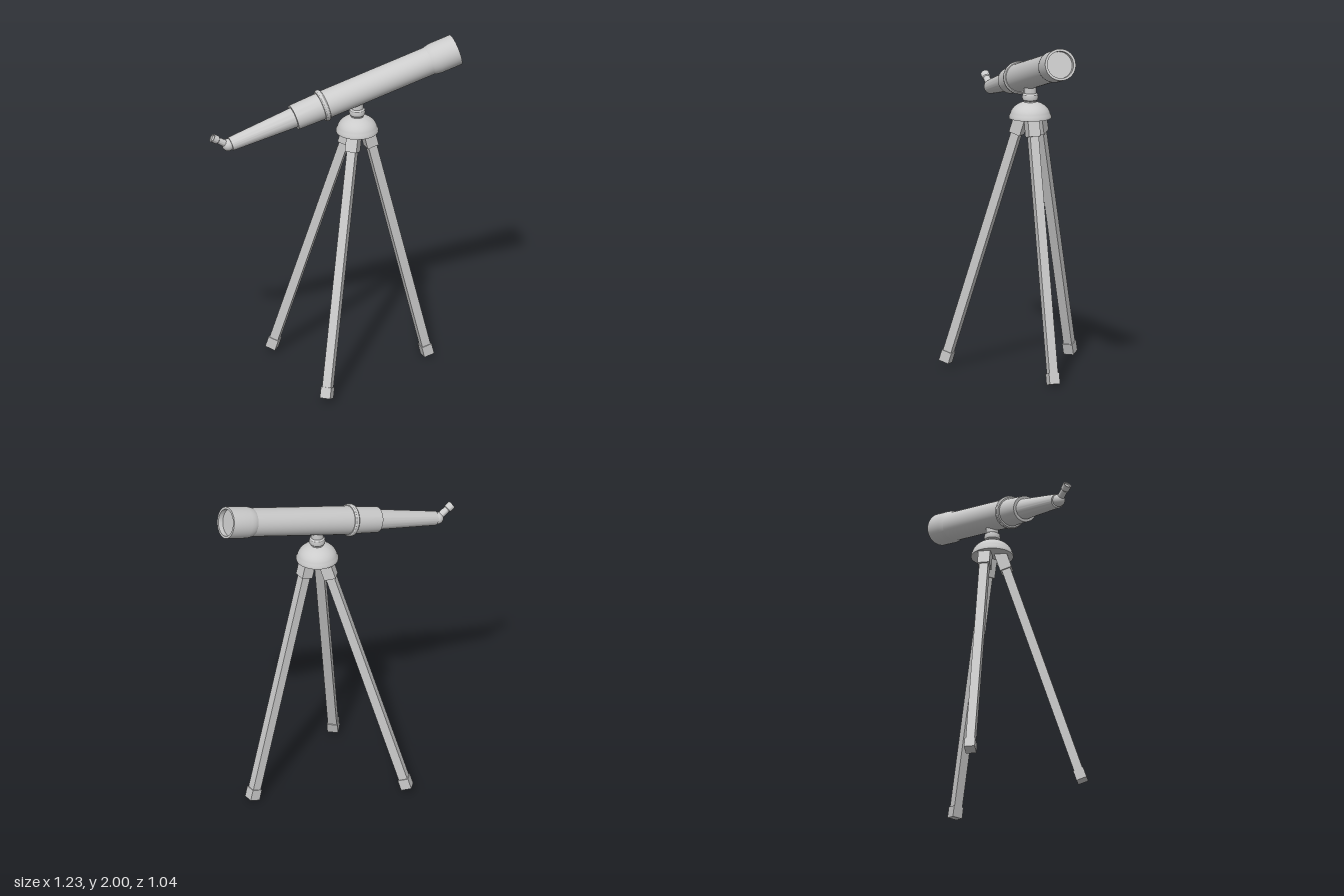
import * as THREE from 'three';
import { toCreasedNormals } from 'three/addons/utils/BufferGeometryUtils.js';

const material = new THREE.MeshStandardMaterial({ color: 0xcccccc });
const UP = new THREE.Vector3(0, 1, 0);
const v = (x, y, z) => new THREE.Vector3(x, y, z);

function part(name, geometry) {
  const mesh = new THREE.Mesh(geometry, material);
  mesh.name = name;
  return mesh;
}

// Turned part: profile of [radius, height], listed from bottom to top
function turned(name, profile, segments = 48) {
  const points = profile.map(([r, y]) => new THREE.Vector2(r, y));
  return part(name, toCreasedNormals(new THREE.LatheGeometry(points, segments), 0.55));
}

// Group whose local y axis runs from one point towards another
function along(name, from, to) {
  const group = new THREE.Group();
  group.name = name;
  group.position.copy(from);
  group.quaternion.setFromUnitVectors(UP, to.clone().sub(from).normalize());
  return group;
}

// Square leg with a socket at the top and a shoe at the bottom
function leg(name, hip, foot) {
  const axis = hip.clone().sub(foot);
  const length = axis.length();
  axis.normalize();
  const side = v(0, 0, 0).crossVectors(axis, UP).normalize();
  const out = v(0, 0, 0).crossVectors(side, axis);
  const group = new THREE.Group();
  group.name = name;
  group.position.copy(foot);
  group.quaternion.setFromRotationMatrix(new THREE.Matrix4().makeBasis(side, axis, out));
  const bar = (label, width, start, end) => {
    const mesh = part(label, new THREE.BoxGeometry(width, end - start, width));
    mesh.position.y = (start + end) / 2;
    group.add(mesh);
  };
  bar('legBar', 0.052, 0.01, length - 0.02);
  bar('legShoe', 0.062, 0, 0.065);
  bar('legSocket', 0.07, length - 0.1, length + 0.015);
  return group;
}

export function createModel() {
  const model = new THREE.Group();
  model.name = 'telescope';

  // Tripod
  model.add(
    leg('sideLeg', v(0.034, 1.49, -0.1), v(-0.442, 0.028, -0.1)),
    leg('frontLeg', v(0.09, 1.49, -0.016), v(0.09, 0.028, 0.457)),
    leg('rearLeg', v(0.139, 1.49, -0.1), v(0.417, 0.008, -0.35)),
  );

  // Domed head
  const dome = [[0, 1.49], [0.122, 1.49], [0.122, 1.502]];
  for (let i = 1; i <= 12; i++) {
    const a = (i / 12) * Math.PI / 2;
    dome.push([i === 12 ? 0 : 0.117 * Math.cos(a), 1.502 + 0.086 * Math.sin(a)]);
  }
  const head = turned('tripodHead', dome);
  // Pivot between head and tube
  const pivot = turned('pivot', [
    [0, 1.56], [0.036, 1.56], [0.036, 1.59], [0.044, 1.597], [0.047, 1.612],
    [0.044, 1.627], [0.036, 1.635], [0.036, 1.71], [0, 1.71],
  ]);
  for (const mesh of [head, pivot]) mesh.position.set(0.089, 0, -0.07);
  model.add(head, pivot);

  // Optical tube, measured along its axis from the eyepiece end
  const tube = along('opticalTube', v(-0.508, 1.53, 0.423), v(0.554, 1.91, -0.452));
  tube.add(
    turned('drawTube', [[0, 0], [0.041, 0], [0.06, 0.42], [0, 0.42]]),
    turned('middleTube', [[0, 0.4], [0.075, 0.4], [0.08, 0.6], [0, 0.6]]),
    turned('mainTube', [[0, 0.57], [0.083, 0.57], [0.083, 1.28], [0, 1.28]]),
    turned('collar', [
      [0.07, 0.568], [0.088, 0.568], [0.094, 0.574], [0.096, 0.583],
      [0.094, 0.592], [0.088, 0.598], [0.07, 0.598],
    ]),
    turned('lensHood', [
      [0.08, 1.25], [0.084, 1.258], [0.089, 1.278], [0.092, 1.3],
      [0.092, 1.427], [0.078, 1.427], [0.078, 1.397], [0, 1.397],
    ]),
  );
  model.add(tube);

  // Angled eyepiece on a ball elbow
  const elbow = v(-0.52, 1.527, 0.432);
  const ball = part('elbow', new THREE.SphereGeometry(0.036, 32, 20));
  ball.position.copy(elbow);
  const eyepiece = along('eyepiece', elbow, v(-0.594, 1.588, 0.496));
  eyepiece.add(
    turned('eyepieceBarrel', [[0, 0], [0.022, 0], [0.019, 0.08], [0, 0.08]], 32),
    turned('eyeCup', [
      [0, 0.075], [0.019, 0.075], [0.024, 0.08], [0.025, 0.115],
      [0.019, 0.115], [0.019, 0.105], [0, 0.105],
    ], 32),
  );
  model.add(ball, eyepiece);

  return model;
}
